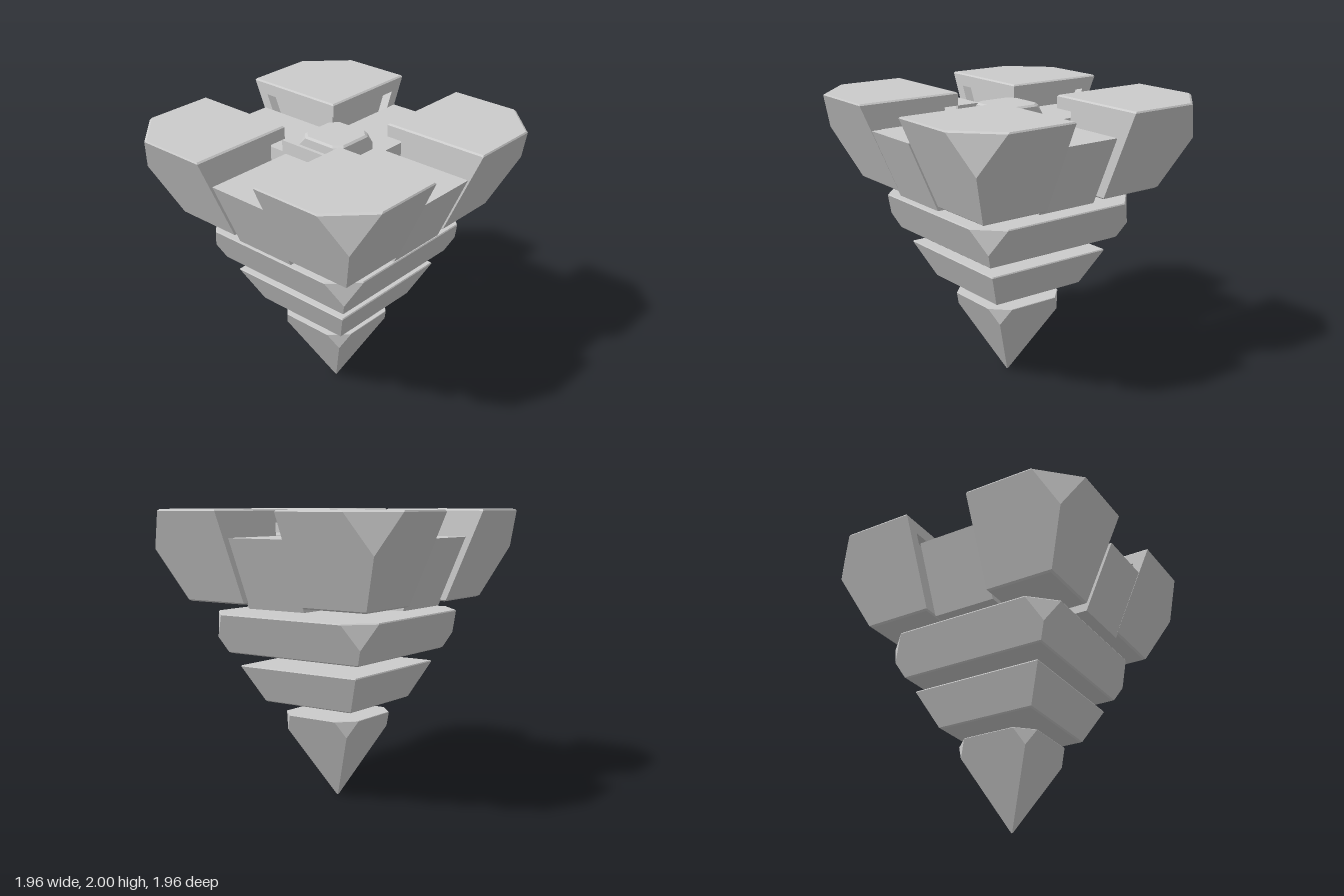
import * as THREE from 'three';
import { ConvexGeometry } from 'three/addons/geometries/ConvexGeometry.js';

const material = new THREE.MeshStandardMaterial({ color: 0xcccccc, flatShading: true });

// Convex solid from horizontal rings: each ring is [y, [[x, z], ...]]
function solid(name, rings) {
  const points = rings.flatMap(([y, ring]) => ring.map(([x, z]) => new THREE.Vector3(x, y, z)));
  const mesh = new THREE.Mesh(new ConvexGeometry(points), material);
  mesh.name = name;
  return mesh;
}

// Rectangle ring
const rect = (x0, x1, z0, z1) => [[x0, z0], [x1, z0], [x1, z1], [x0, z1]];

// Square ring of half-width h with corners cut by c
const square = (h, c) => [[1, 1], [1, -1], [-1, -1], [-1, 1]].flatMap(([a, b]) =>
  c > 0 ? [[a * h, b * (h - c)], [a * (h - c), b * h]] : [[a * h, b * h]]);

// Inverted pyramid slice with a cut on each top corner and a fine bevel
function slice(name, y0, y1, h0, h1, cut, bevel = 0.008) {
  const half = y => h0 + (h1 - h0) * (y - y0) / (y1 - y0);
  const rings = [
    [y0, square(Math.max(half(y0) - bevel, 0.004), 0)],
    [y0 + bevel, square(half(y0 + bevel), 0)],
    [y1 - bevel, square(half(y1 - bevel), cut)],
    [y1, square(half(y1) - bevel, cut)],
  ];
  if (cut > 0) rings.push([y1 - cut, square(half(y1 - cut), 0)]);
  return solid(name, rings);
}

// Slope and corner cut of the crown
const outer = y => 0.983 - (2 - y) * 0.445;
const cornerCut = y => Math.max(0, y - 1.74);

// Quarter ring of the crown, from the inner corner (a, a) to the sloped outside
function quarter(y, a, sx, sz, inset = 0) {
  const h = outer(y) - inset, c = cornerCut(y), i = a + inset;
  return [[i, i], [h, i], [h, h - c], [h - c, h], [i, h]].map(([x, z]) => [x * sx, z * sz]);
}

function cornerBlock(sx, sz) {
  const block = new THREE.Group();
  block.name = 'cornerBlock';
  const inner = 0.235, recess = 0.3, e = 0.01;
  const ring = (y, a, inset) => [y, quarter(y, a, sx, sz, inset)];
  block.add(
    solid('cornerCap', [ring(1.91, inner), ring(2 - e, inner), ring(2, inner, e)]),
    solid('cornerCore', [ring(1.4, recess), ring(1.74, recess), ring(1.91, recess)]),
    solid('cornerBase', [ring(1.39, inner, e), ring(1.39 + e, inner), ring(1.45, inner)]),
  );
  // Sloped rims framing the two recessed inner faces
  for (const swap of [false, true]) {
    const rim = y => [y, rect(outer(y) - 0.08, outer(y), inner, recess + 0.01)
      .map(([u, v]) => swap ? [v * sx, u * sz] : [u * sx, v * sz])];
    block.add(solid('cornerRim', [rim(1.45), rim(1.91)]));
  }
  return block;
}

export function createModel() {
  const model = new THREE.Group();
  model.name = 'invertedPyramid';

  // Floating tiers
  model.add(
    slice('tip', 0, 0.6, 0.004, 0.305, 0.115, 0.004),
    slice('lowerTier', 0.685, 0.943, 0.352, 0.477, 0),
    slice('upperTier', 1.03, 1.31, 0.527, 0.66, 0.17),
  );

  // Four corner blocks of the crown
  for (const sx of [1, -1]) for (const sz of [1, -1]) model.add(cornerBlock(sx, sz));

  // Cross between the blocks, with sloped ends and set slightly off centre
  for (const swap of [false, true]) {
    const ring = (y, reach) => [y, rect(0.0225 - reach, 0.0225 + reach, -0.205, 0.245)
      .map(([u, v]) => swap ? [v, u] : [u, v])];
    model.add(solid('crossBeam', [ring(1.36, 0.675), ring(1.822, 0.878)]));
  }

  // Low wall in front of the button
  model.add(solid('lowWall', [[1.81, rect(-0.235, 0.235, 0.235, 0.26)], [1.91, rect(-0.235, 0.235, 0.235, 0.26)]]));

  // Centre button with cut top corners
  model.add(solid('button', [
    [1.81, square(0.168, 0)], [1.87, square(0.168, 0)],
    [1.925, square(0.168, 0.05)], [1.938, square(0.155, 0.05)],
  ]));
  return model;
}
